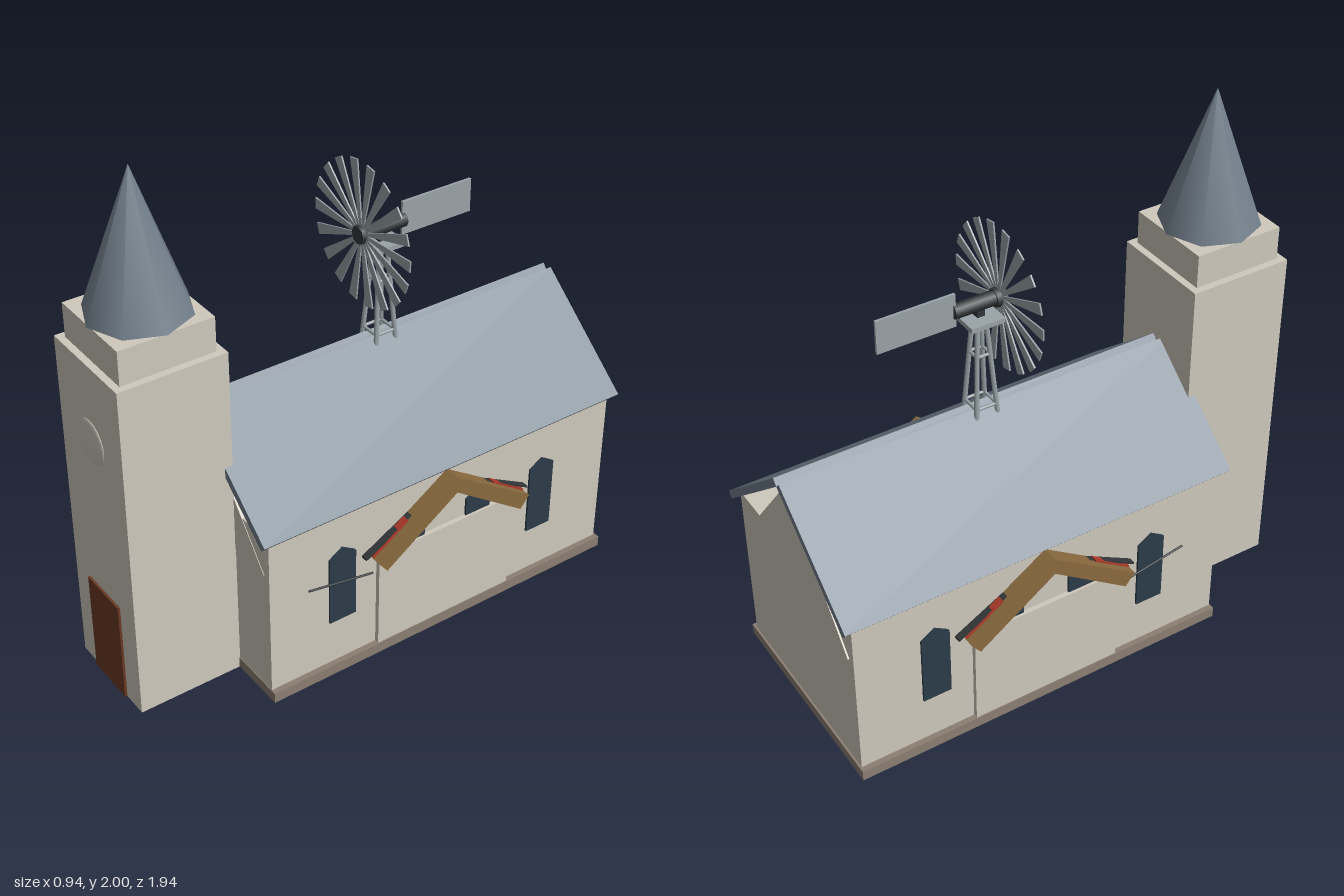
import * as THREE from 'three';

const mat = (color, side = THREE.FrontSide) => new THREE.MeshStandardMaterial({ color, side });
const WALL = mat(0xd0cabd), ROOF = mat(0x73808c), PLINTH = mat(0x8c7f73), DOOR = mat(0x6b3a24),
  GLASS = mat(0x2c3c4a), WOOD = mat(0x8b6b3f), RED = mat(0xb03a2a), METAL = mat(0x9aa4a8), DARK = mat(0x33383a);

export function createModel() {
  const root = new THREE.Group();

  const add = (name, geo, material, parent = root) => {
    const m = new THREE.Mesh(geo, material);
    m.name = name;
    parent.add(m);
    return m;
  };
  // Box given by its minimum and maximum on each axis
  const box = (name, [x0, x1], [y0, y1], [z0, z1], material, parent) => {
    const m = add(name, new THREE.BoxGeometry(x1 - x0, y1 - y0, z1 - z0), material, parent);
    m.position.set((x0 + x1) / 2, (y0 + y1) / 2, (z0 + z1) / 2);
    return m;
  };
  // Outline in x and y, extruded from z0 to z1
  const prism = (pts, z0, z1) => new THREE.ExtrudeGeometry(
    new THREE.Shape(pts.map(p => new THREE.Vector2(...p))),
    { depth: z1 - z0, bevelEnabled: false }).translate(0, 0, z0);
  // Outline in z and y, extruded from x0 to x1
  const sidePrism = (pts, x0, x1) =>
    prism(pts.map(([z, y]) => [-z, y]), x0, x1).rotateY(Math.PI / 2);
  // Round bar between two points
  const bar = (name, a, b, r, material, parent) => {
    const p = new THREE.Vector3(...a), q = new THREE.Vector3(...b);
    const m = add(name, new THREE.CylinderGeometry(r, r, p.distanceTo(q), 8), material, parent);
    m.position.copy(p).add(q).multiplyScalar(0.5);
    m.quaternion.setFromUnitVectors(new THREE.Vector3(0, 1, 0), q.sub(p).normalize());
    return m;
  };

  // Nave with plinth and gable
  box('naveWalls', [-0.408, 0.408], [0.02, 0.72], [-0.937, 0.555], WALL);
  box('plinth', [-0.43, 0.43], [0.021, 0.063], [-0.945, 0.558], PLINTH);
  add('gable', prism([[-0.38, 0.56], [0.38, 0.56], [0, 1.03]], -0.943, 0.557), WALL);

  // Roof slopes, meeting in a shallow groove at the ridge
  for (const s of [1, -1]) {
    const pts = [[0, 1.042], [0.02, 1.065], [0.432, 0.722], [0.412, 0.7]].map(([x, y]) => [s * x, y]);
    add(s > 0 ? 'leftRoofSlope' : 'rightRoofSlope', prism(pts, -0.97, 0.585), ROOF);
  }

  // Bell tower
  const tower = new THREE.Group();
  tower.name = 'tower';
  root.add(tower);
  box('towerShaft', [-0.203, 0.203], [0.02, 1.358], [0.555, 0.96], WALL, tower);
  box('belfry', [-0.176, 0.176], [1.358, 1.487], [0.582, 0.934], WALL, tower);
  add('spire', new THREE.ConeGeometry(0.185, 0.513, 8), ROOF, tower).position.set(0, 1.7435, 0.758);
  box('door', [-0.103, 0.103], [0.02, 0.425], [0.95, 0.969], DOOR, tower);
  const rose = add('roundWindow', new THREE.SphereGeometry(0.083, 32, 16), mat(0xcfcabf), tower);
  rose.scale.z = 0.12;
  rose.position.set(0, 1.058, 0.96);

  // Side bays, windows and timber canopies, the same on both sides
  for (const s of [1, -1]) {
    const side = new THREE.Group();
    side.name = s > 0 ? 'leftSide' : 'rightSide';
    root.add(side);
    const span = (a, b) => s > 0 ? [a, b] : [-b, -a];

    box('bay', span(0.38, 0.426), [0.02, 0.46], [-0.485, 0.11], WALL, side);

    for (const z of [0.258, -0.04, -0.335, -0.632])
      add('window', sidePrism([[z - 0.055, 0.25], [z + 0.055, 0.25], [z + 0.055, 0.53],
        [z, 0.565], [z - 0.055, 0.53]], ...span(0.4, 0.416)), GLASS, side);

    // Each canopy half leans from the peak at z = -0.19
    for (const d of [1, -1]) {
      const half = pts => pts.map(([z, y]) => [-0.19 + d * z, y]);
      add('canopyBeam', sidePrism(half([[0, 0.638], [0, 0.702], [0.337, 0.478], [0.3, 0.43]]),
        ...span(0.405, 0.472)), WOOD, side);
      add('canopyFlashing', sidePrism(half([[0.15, 0.592], [0.15, 0.6], [0.362, 0.484], [0.362, 0.476]]),
        ...span(0.4, 0.434)), DARK, side);
      add('canopyTrim', sidePrism(half([[0.19, 0.57], [0.19, 0.583], [0.338, 0.484], [0.33, 0.474]]),
        ...span(0.412, 0.44)), RED, side);
    }
    bar('wallRod', [s * 0.415, 0.44, 0.4], [s * 0.415, 0.392, 0.13], 0.004, DARK, side);
  }

  // Wind pump: its legs run down through the building
  const pump = new THREE.Group();
  pump.name = 'windPump';
  pump.position.z = -0.19;
  root.add(pump);
  const spread = y => 0.113 - 0.097 * y / 1.42;
  const corners = [[1, 1], [1, -1], [-1, -1], [-1, 1]];
  corners.forEach(([x, z], i) => {
    const at = (y, [cx, cz]) => [cx * spread(y), y, cz * spread(y)];
    bar('pumpLeg', at(0, [x, z]), at(1.42, [x, z]), 0.009, METAL, pump);
    for (const y of [1.075, 1.28])
      bar('pumpBrace', at(y, [x, z]), at(y, corners[(i + 1) % 4]), 0.006, METAL, pump);
  });
  box('platform', [-0.063, 0.063], [1.413, 1.431], [-0.065, 0.065], METAL, pump);
  box('gearPost', [-0.015, 0.015], [1.43, 1.48], [-0.015, 0.015], DARK, pump);
  bar('axle', [0, 1.478, -0.1], [0, 1.478, 0.08], 0.027, DARK, pump);
  box('tailVane', [-0.005, 0.005], [1.42, 1.548], [-0.388, -0.09], METAL, pump);

  // Wheel of eighteen tapered blades
  const wheel = new THREE.Group();
  wheel.name = 'wheel';
  wheel.position.set(0, 1.476, 0.078);
  pump.add(wheel);
  bar('hub', [0, 0, -0.022], [0, 0, 0.018], 0.034, DARK, wheel);
  const blade = prism([[0.03, -0.006], [0.272, -0.021], [0.272, 0.021], [0.03, 0.006]], -0.003, 0.003);
  for (let i = 0; i < 18; i++)
    add('blade', blade, METAL, wheel).rotation.z = i * Math.PI / 9;

  return root;
}
